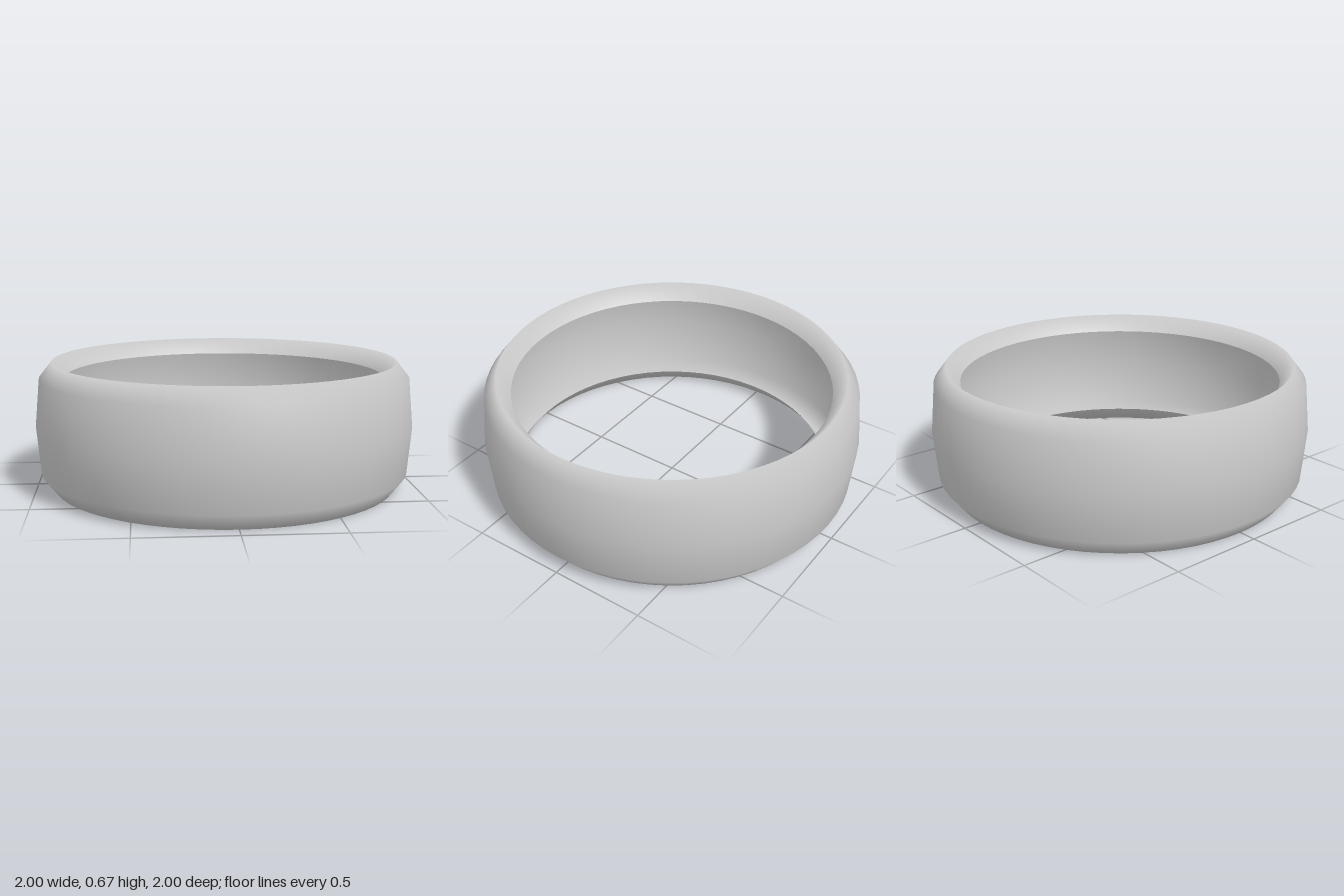
import * as THREE from 'three';

const SEGMENTS = 64;
const HEIGHT = 0.67;

export function createModel() {
  const group = new THREE.Group();
  group.name = 'hollowRing';

  // Open shell: the lower lip rolls round the rim into the domed tread,
  // the upper half mirrors it, and the hollow inside shows the tread's back
  const lower = [[0.84, 0.085], [0.91, 0], [0.977, 0.085]];
  const upper = lower.map(([r, y]) => [r, HEIGHT - y]).reverse();
  const profile = [...lower, [1, HEIGHT / 2], ...upper].map(([r, y]) => new THREE.Vector2(r, y));

  const shell = new THREE.Mesh(
    new THREE.LatheGeometry(profile, SEGMENTS),
    new THREE.MeshStandardMaterial({ color: 0xcccccc, side: THREE.DoubleSide })
  );
  shell.name = 'bandShell';
  group.add(shell);

  return group;
}
